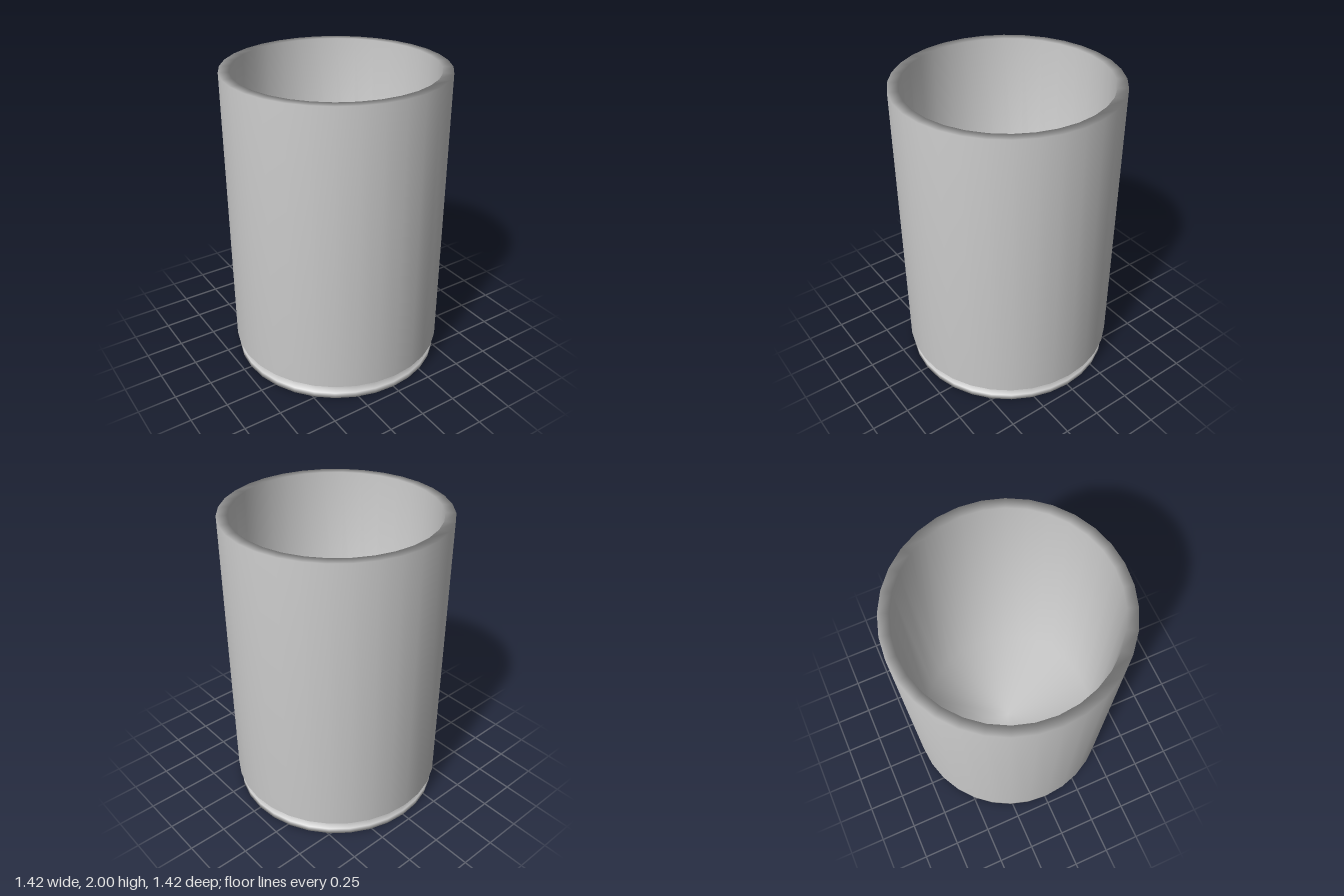
import * as THREE from 'three';

export function createModel() {
  const group = new THREE.Group();
  const material = new THREE.MeshStandardMaterial({ color: 0xcccccc });

  // Closed profile: underside, foot, groove, outer wall, rim, inner wall, floor
  const profile = [
    [0, 0], [0.695, 0], [0.695, 0.04],
    [0.63, 0.075], [0.71, 0.105],
    [0.71, 2], [0.645, 2],
    [0.645, 0.1], [0, 0.1],
  ].map(([r, y]) => new THREE.Vector2(r, y));

  // Smooth-shaded 32-sided tumbler
  const cup = new THREE.Mesh(new THREE.LatheGeometry(profile, 32), material);
  cup.name = 'cup';
  group.add(cup);
  return group;
}
